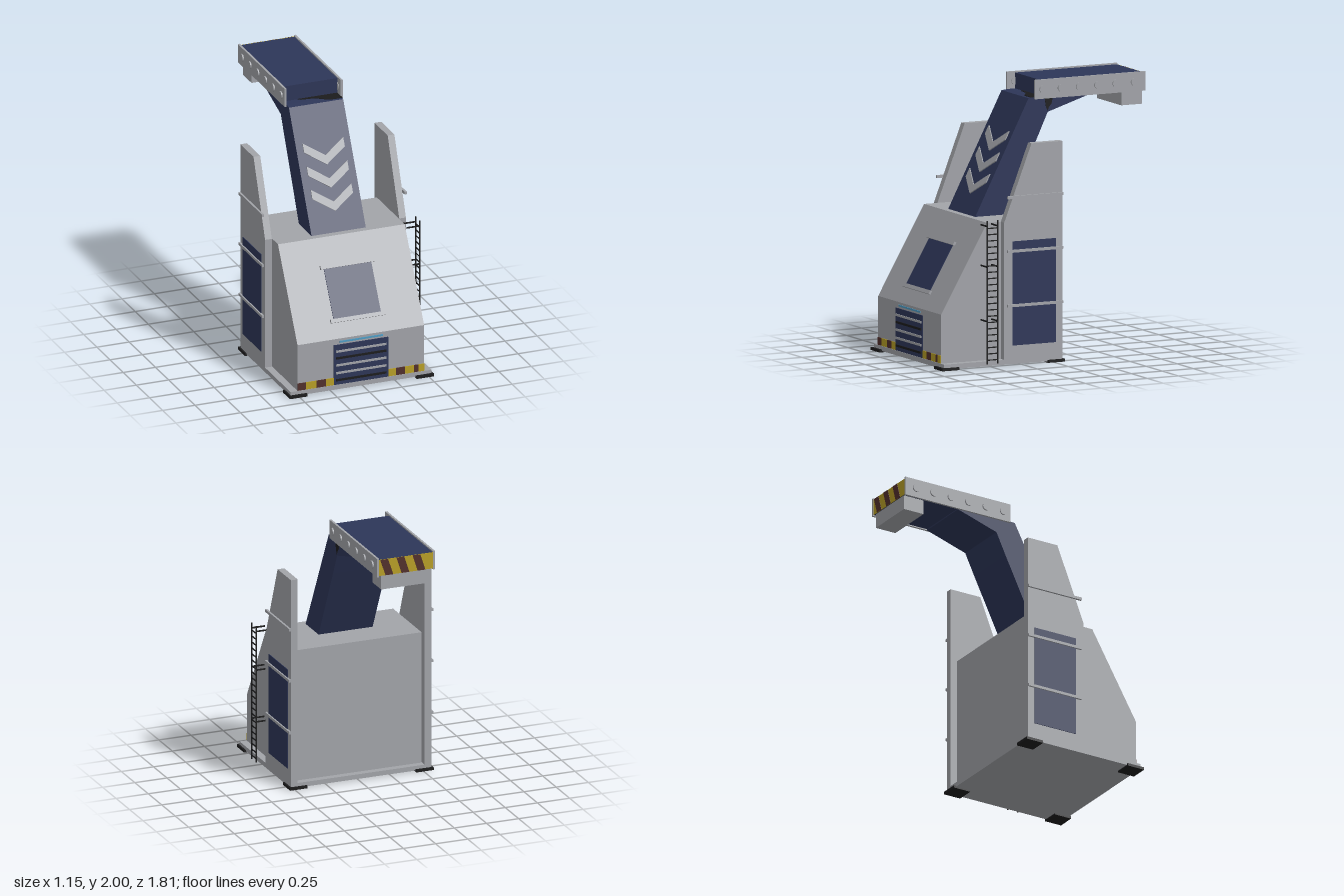
import * as THREE from 'three';

const CX = -0.02; // centre line of the machine

export function createModel() {
  const root = new THREE.Group();
  root.name = 'craneTower';
  const mat = (name, color, extra = {}) => {
    const m = new THREE.MeshStandardMaterial({ color, ...extra });
    m.name = name;
    return m;
  };
  const grey = mat('steelGrey', 0xa2a4a9);
  const blue = mat('navyBlue', 0x2d3658);
  const black = mat('black', 0x1c1c1d);
  const yellow = mat('hazardYellow', 0xb89f26);
  const brown = mat('hazardBrown', 0x52302c);
  const cyan = mat('lightStrip', 0x4f9cc4);

  const add = (name, geo, m, parent = root) => {
    const mesh = new THREE.Mesh(geo, m);
    mesh.name = name;
    parent.add(mesh);
    return mesh;
  };
  // box given by its limits on each axis
  const box = (name, m, x0, x1, y0, y1, z0, z1, parent = root) => {
    const mesh = add(name, new THREE.BoxGeometry(x1 - x0, y1 - y0, z1 - z0), m, parent);
    mesh.position.set((x0 + x1) / 2, (y0 + y1) / 2, (z0 + z1) / 2);
    return mesh;
  };
  // side profile of [z, y] points, extruded from x0 to x1
  const slab = (name, m, pts, x0, x1) => {
    const shape = new THREE.Shape(pts.map(([z, y]) => new THREE.Vector2(-z, y)));
    const geo = new THREE.ExtrudeGeometry(shape, { depth: x1 - x0, bevelEnabled: false });
    geo.rotateY(Math.PI / 2).translate(x0, 0, 0);
    return add(name, geo, m);
  };
  const plate = (pts, depth) => new THREE.ExtrudeGeometry(
    new THREE.Shape(pts.map(([x, y]) => new THREE.Vector2(x, y))), { depth, bevelEnabled: false });

  // base and corner pads
  box('base', grey, -0.565, 0.525, 0.01, 0.045, -0.07, 0.885);
  for (const x of [-0.51, 0.47]) for (const z of [-0.017, 0.837])
    box('cornerPad', black, x - 0.068, x + 0.068, 0, 0.02, z - 0.068, z + 0.068);

  // main housing
  slab('housing', grey, [[0.88, 0.045], [0.88, 0.4], [0.51, 1.04], [-0.02, 1.04], [-0.02, 0.045]], -0.51, 0.47);

  // side walls with panels and rails
  for (const s of [-1, 1]) {
    const span = (a, b) => [CX + s * a, CX + s * b].sort((p, q) => p - q);
    slab('sideWall', grey, [[0.4, 0.045], [0.4, 1.04], [0.18, 1.6], [-0.07, 1.6], [-0.07, 0.045]], ...span(0.493, 0.545));
    box('sidePanel', blue, ...span(0.544, 0.55), 0.145, 0.9, -0.015, 0.335);
    for (const y of [0.435, 0.83, 1.22])
      box('sideRail', grey, ...span(0.543, 0.56), y - 0.01, y + 0.01, -0.07, 0.378);
  }

  // ladder
  const ladder = new THREE.Group();
  ladder.name = 'ladder';
  root.add(ladder);
  for (const z of [0.475, 0.558]) {
    box('ladderRail', black, 0.565, 0.573, 0.03, 1.07, z - 0.004, z + 0.004, ladder);
    for (const y of [0.34, 0.735, 1.03])
      box('ladderBracket', black, 0.465, 0.57, y - 0.005, y + 0.005, z - 0.004, z + 0.004, ladder);
  }
  for (let i = 0; i < 22; i++) {
    const y = 0.06 + i * 0.0455;
    box('ladderRung', black, 0.566, 0.572, y - 0.004, y + 0.004, 0.475, 0.558, ladder);
  }

  // hatch on the sloping front
  const hatch = new THREE.Group();
  hatch.name = 'frontHatch';
  hatch.position.set(CX, 0.68, 0.718);
  hatch.rotation.x = -Math.PI / 6;
  root.add(hatch);
  box('hatchPanel', blue, -0.183, 0.183, -0.19, 0.19, -0.004, 0.006, hatch);
  for (const y of [-0.193, 0.2])
    box('hatchBar', grey, -0.21, 0.21, y - 0.014, y + 0.014, -0.005, 0.018, hatch);

  // vent grille and light strip
  box('ventPanel', blue, -0.23, 0.19, 0.047, 0.355, 0.878, 0.887);
  [0.305, 0.253, 0.198, 0.138, 0.083].forEach((y, i) =>
    box('ventSlat', i === 1 || i === 4 ? black : grey, -0.215, 0.175, y - 0.008, y + 0.008, 0.884, 0.893));
  box('lightStrip', cyan, -0.185, 0.15, 0.369, 0.382, 0.878, 0.886);

  // hazard band along the front foot
  const bands = [[-0.51, -0.445, -0.365, -0.29, -0.23], [0.19, 0.25, 0.32, 0.39, 0.425, 0.47]];
  bands.forEach((edges, side) => {
    for (let i = 0; i + 1 < edges.length; i++)
      box('hazardBlock', (i + side) % 2 ? yellow : brown, edges[i], edges[i + 1], 0.047, 0.102, 0.878, 0.886);
  });

  // boom and the wedge that carries the head
  slab('boom', blue, [[0.465, 1.03], [0.03, 1.87], [-0.02, 1.875], [-0.45, 1.875],
    [-0.45, 1.86], [-0.125, 1.76], [-0.05, 1.6], [0.225, 1.03]], -0.23, 0.19);

  // worn patches at the elbow
  slab('elbowPatch', black, [[-0.1, 1.862], [-0.165, 1.862], [-0.155, 1.82], [-0.13, 1.79], [-0.125, 1.77], [-0.11, 1.8]], 0.189, 0.193);
  const topPatch = add('elbowTopPatch', plate([[-0.12, 0.078], [0.19, 0.078], [0.19, -0.015], [0.1, -0.015], [0.04, 0.02], [0, 0.05], [-0.1, 0.06]], 0.004), black);
  topPatch.rotation.x = -Math.PI / 2;
  topPatch.position.y = 1.874;

  // chevrons on the boom
  const k = 1 / 0.888;
  const chevron = plate([[-0.157, 0.078 * k], [-0.157, 0.018 * k], [0, -0.078 * k], [0.157, 0.018 * k], [0.157, 0.078 * k], [0, -0.018 * k]], 0.008);
  for (const y of [1.553, 1.403, 1.253]) {
    const c = add('chevron', chevron, grey);
    c.position.set(CX, y, 0.465 - (y - 1.03) * 0.518);
    c.rotation.x = -Math.atan(0.518);
  }

  // head with side plates and bolts
  box('head', blue, -0.23, 0.19, 1.868, 1.99, -0.9, -0.08);
  const boltGeo = new THREE.CylinderGeometry(0.028, 0.028, 0.03, 20).rotateZ(Math.PI / 2);
  for (const s of [-1, 1]) {
    const x = CX + s * 0.217;
    box('headSidePlate', grey, x - 0.008, x + 0.008, 1.86, 2, -0.905, -0.015);
    for (let i = 0; i < 6; i++)
      add('headBolt', boltGeo, grey).position.set(x + s * 0.003, 1.93, -0.078 - i * 0.1475);
  }
  box('headUnderBlock', grey, CX - 0.19, CX + 0.19, 1.76, 1.87, -0.895, -0.73);

  // slanted hazard stripes on the end of the head
  box('headEndPlate', yellow, -0.23, 0.19, 1.868, 1.99, -0.903, -0.898);
  for (let i = 0; i < 3; i++) {
    const x = -0.17 + i * 0.125;
    add('headEndStripe', plate([[x, 1.868], [x + 0.06, 1.868], [x + 0.1, 1.99], [x + 0.04, 1.99]], 0.004), brown)
      .position.z = -0.905;
  }
  return root;
}
